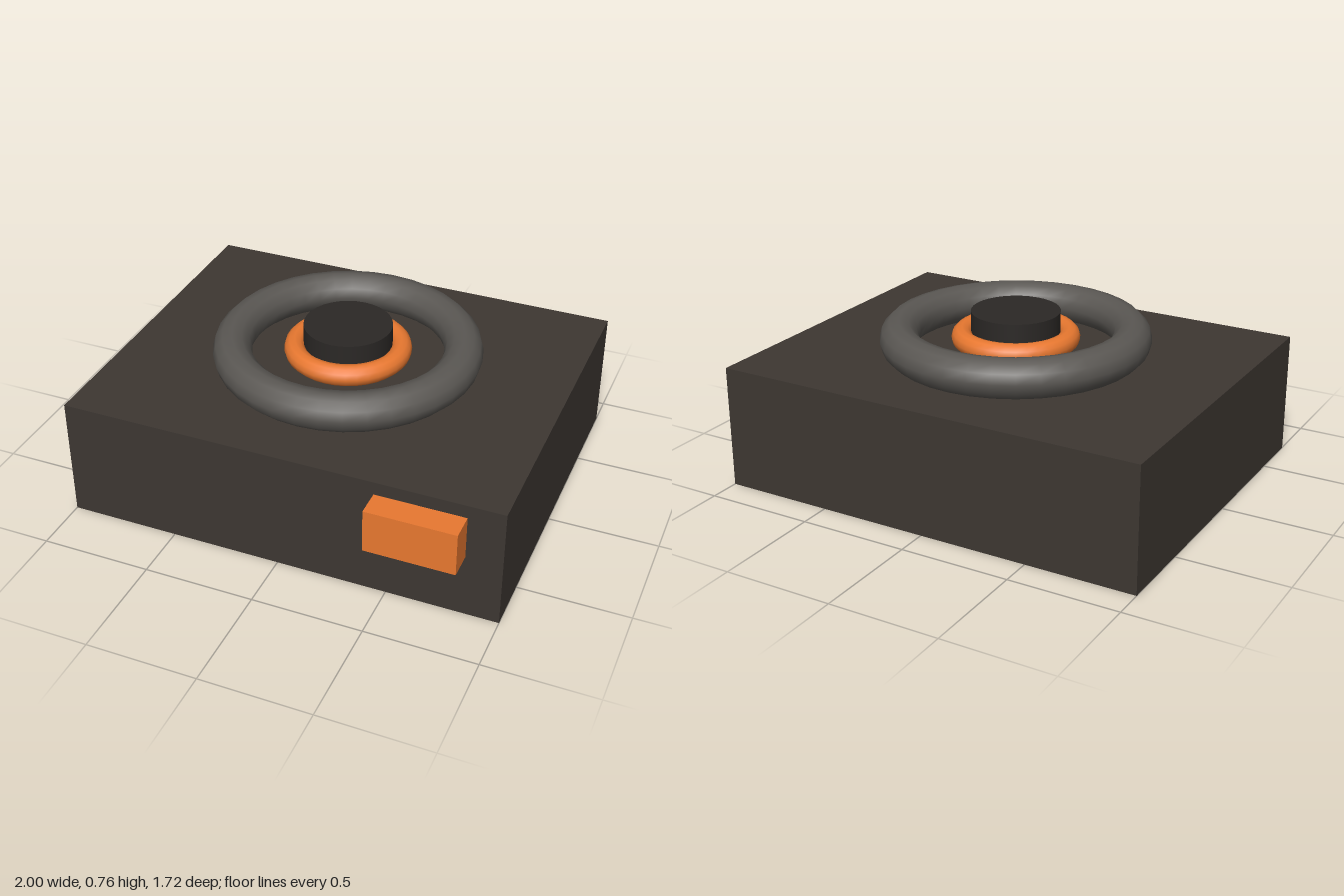
import * as THREE from 'three';

const CENTER_Z = -0.06; // body and dial share this axis

export function createModel() {
  const model = new THREE.Group();
  model.name = 'dialBox';

  const paint = (color) => new THREE.MeshStandardMaterial({ color });
  const bodyPaint = paint(0x3d3732);
  const ringPaint = paint(0x5a5753);
  const knobPaint = paint(0x2b2826);
  const orange = paint(0xe87830);

  const add = (name, geometry, material, x, y, z) => {
    const mesh = new THREE.Mesh(geometry, material);
    mesh.name = name;
    mesh.position.set(x, y, z);
    model.add(mesh);
    return mesh;
  };

  // A ring lying flat around the dial axis
  const addRing = (name, radius, tube, material) => {
    const geometry = new THREE.TorusGeometry(radius, tube, 12, 36);
    geometry.rotateX(-Math.PI / 2);
    return add(name, geometry, material, 0, 0.64, CENTER_Z);
  };

  // Plain box body
  add('body', new THREE.BoxGeometry(2, 0.56, 1.6), bodyPaint, 0, 0.28, CENTER_Z);

  // Dial: outer ring, accent ring and central knob
  addRing('outerRing', 0.52, 0.088, ringPaint);
  addRing('accentRing', 0.24, 0.048, orange);
  add('knob', new THREE.CylinderGeometry(0.2, 0.2, 0.2, 32), knobPaint, 0, 0.66, CENTER_Z);

  // Block standing out of the front face
  add('frontBlock', new THREE.BoxGeometry(0.4, 0.2, 0.12), orange, 0.64, 0.4, 0.8);

  return model;
}
